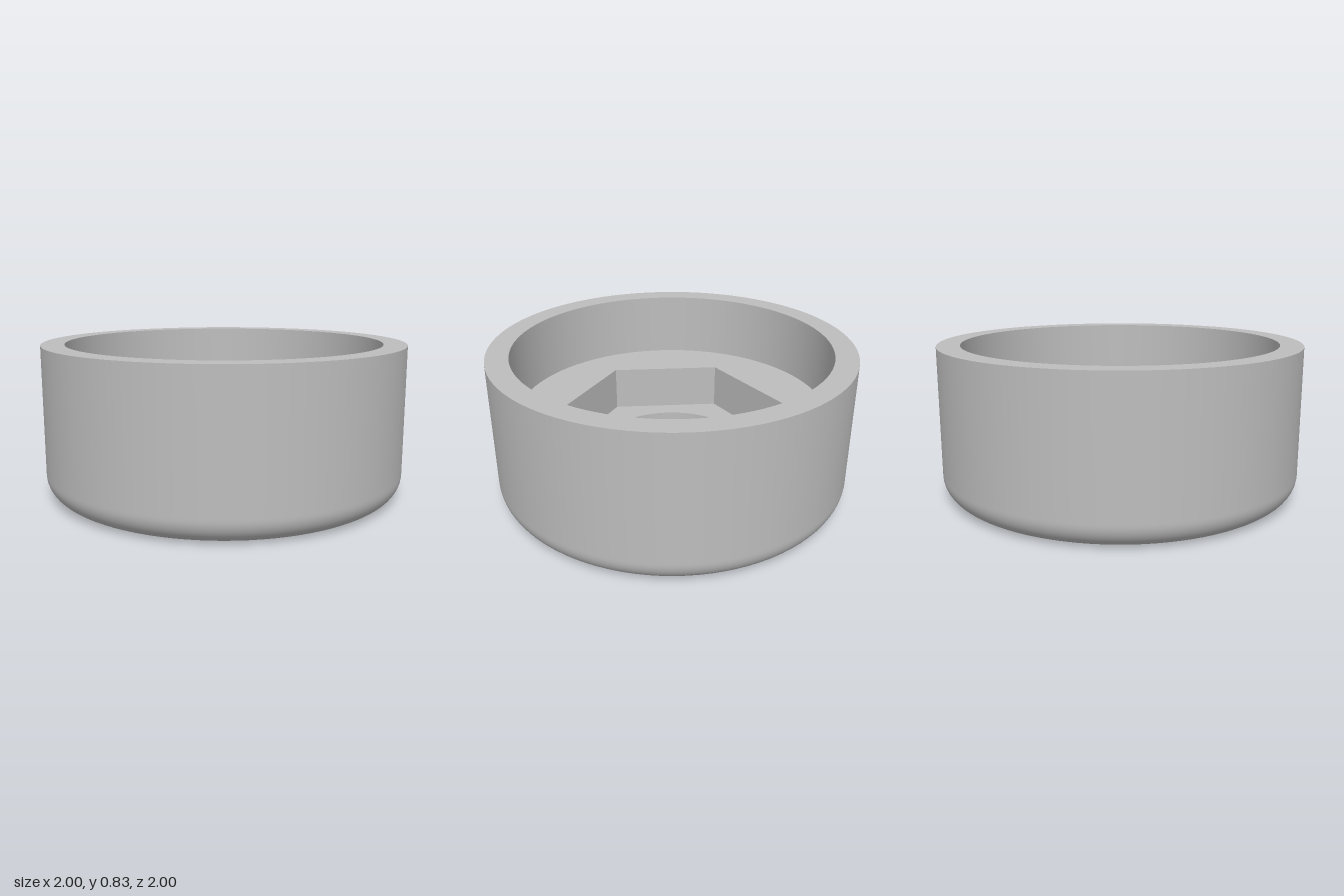
import * as THREE from 'three';

const SEG = 96;
const TOP = 0.83, FLOOR = 0.46, HEX_FLOOR = 0.2, HOLE_FLOOR = 0.1;
const R = 1, R_IN = 0.875, R_HEX = 0.637, R_HOLE = 0.442, FILLET = 0.13;

export function createModel() {
  const group = new THREE.Group();
  const grey = new THREE.MeshStandardMaterial({ color: 0xbdbdbd });
  grey.name = 'plain grey';

  const add = (name, geometry) => {
    const mesh = new THREE.Mesh(geometry, grey);
    mesh.name = name;
    group.add(mesh);
  };
  // Surface of revolution: rising profiles face outwards, falling ones inwards
  const turn = (pts, sides = SEG) =>
    new THREE.LatheGeometry(pts.map(([x, y]) => new THREE.Vector2(x, y)), sides);
  // Flat upward face at height y
  const flat = (geometry, y) => geometry.rotateX(-Math.PI / 2).translate(0, y, 0);

  // Outer wall with rounded lower edge
  const profile = [];
  for (let i = 0; i <= 16; i++) {
    const a = (i / 16) * Math.PI / 2;
    profile.push([R - FILLET + FILLET * Math.sin(a), FILLET - FILLET * Math.cos(a)]);
  }
  profile.push([R, FILLET + 0.01], [R, TOP]);
  add('outerWall', turn(profile));
  add('base', new THREE.CircleGeometry(R - FILLET, SEG).rotateX(Math.PI / 2));

  // Rim and round recess
  add('rim', flat(new THREE.RingGeometry(R_IN, R, SEG), TOP));
  add('recessWall', turn([[R_IN, TOP], [R_IN, FLOOR]]));

  // Recess floor with hexagonal opening, corners on the z axis
  const hexPoints = [];
  for (let i = 0; i < 6; i++) {
    const a = Math.PI / 2 + (i * Math.PI) / 3;
    hexPoints.push(new THREE.Vector2(R_HEX * Math.cos(a), R_HEX * Math.sin(a)));
  }
  const recess = new THREE.Shape().absarc(0, 0, R_IN, 0, Math.PI * 2);
  recess.holes.push(new THREE.Path(hexPoints));
  add('recessFloor', flat(new THREE.ShapeGeometry(recess, SEG / 2), FLOOR));

  // Hexagonal pocket
  const hexWall = turn([[R_HEX, FLOOR], [R_HEX, HEX_FLOOR]], 6).toNonIndexed();
  hexWall.computeVertexNormals();
  add('hexPocketWall', hexWall);
  const hexFloor = new THREE.Shape(hexPoints);
  hexFloor.holes.push(new THREE.Path().absarc(0, 0, R_HOLE, 0, Math.PI * 2));
  add('hexPocketFloor', flat(new THREE.ShapeGeometry(hexFloor, SEG / 2), HEX_FLOOR));

  // Round blind hole below the pocket
  add('holeWall', turn([[R_HOLE, HEX_FLOOR], [R_HOLE, HOLE_FLOOR]]));
  add('holeFloor', flat(new THREE.CircleGeometry(R_HOLE, SEG), HOLE_FLOOR));

  return group;
}
